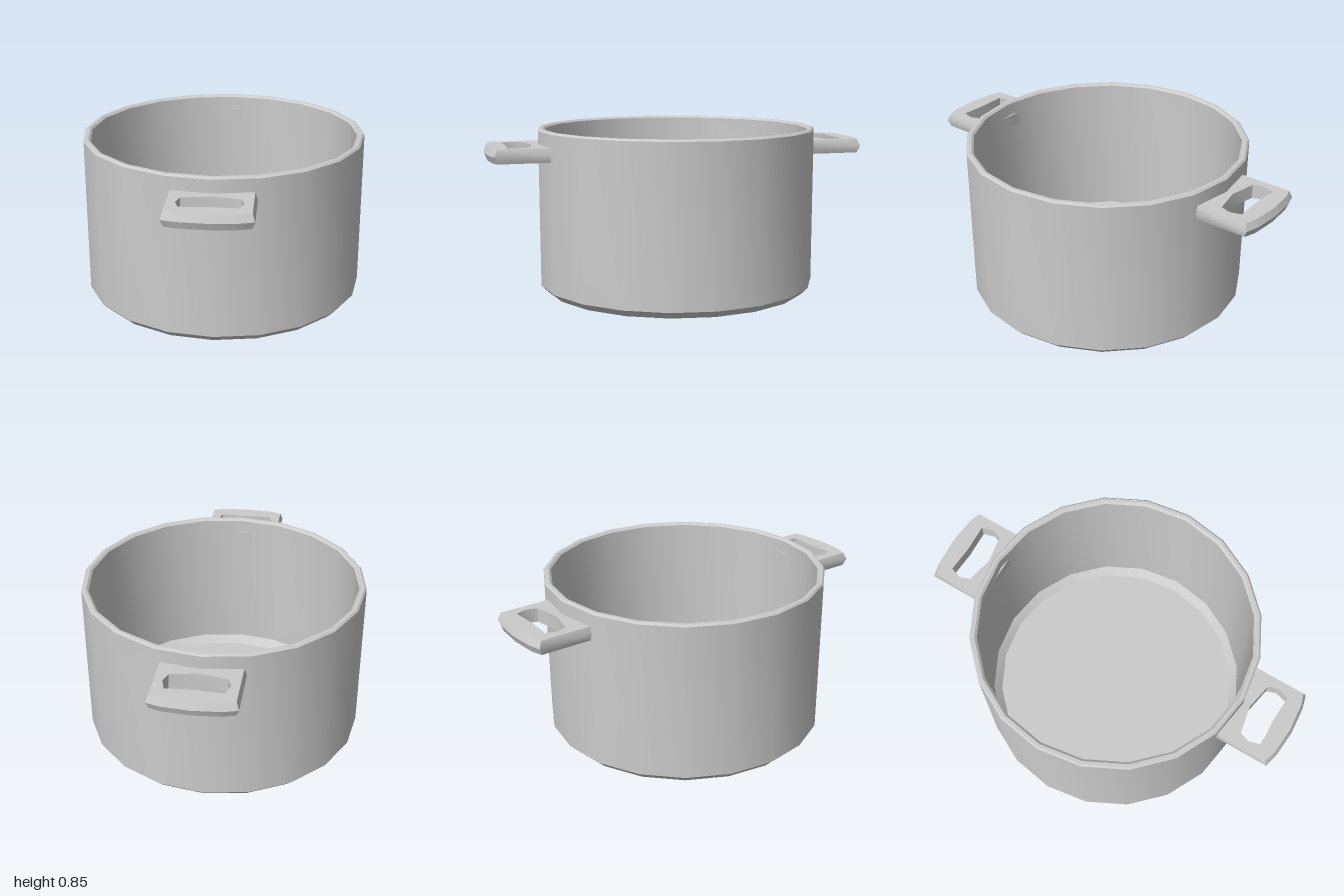
import * as THREE from 'three';
import { toCreasedNormals } from 'three/addons/utils/BufferGeometryUtils.js';

const CREASE = 0.7;
const points = (list) => list.map(([x, y]) => new THREE.Vector2(x, y));

// Flat grip: thickness along y, pointing to +z, with a hand hole
function handleGeometry() {
  const thickness = 0.072;
  const shape = new THREE.Shape(points([
    [-0.197, 0.68], [0.197, 0.68], [0.197, 0.956],
    [0.14, 0.975], [0, 0.986], [-0.14, 0.975], [-0.197, 0.956],
  ]));
  shape.holes.push(new THREE.Path(points([
    [-0.138, 0.9], [0, 0.893], [0.138, 0.9], [0.155, 0.84],
    [0.138, 0.79], [0, 0.763], [-0.138, 0.79], [-0.155, 0.84],
  ])));
  const geo = new THREE.ExtrudeGeometry(shape, { depth: thickness, steps: 2, bevelEnabled: false });

  // Push the middle ring of the outer edge outwards for a ridged rim
  const p = geo.attributes.position;
  for (let i = 0; i < p.count; i++) {
    if (Math.abs(p.getZ(i) - thickness / 2) > 0.001) continue;
    const x = p.getX(i), y = p.getY(i);
    if (Math.abs(x) > 0.18) p.setX(i, x + Math.sign(x) * 0.012);
    if (y > 0.93) p.setY(i, y + 0.014);
  }
  geo.rotateX(Math.PI / 2);
  return toCreasedNormals(geo, CREASE);
}

export function createModel() {
  const group = new THREE.Group();
  const material = new THREE.MeshStandardMaterial({ color: 0xcccccc });

  // Pot body: base, chamfer, outer wall, rim, inner wall, inner floor
  const profile = points([
    [0, 0], [0.69, 0], [0.727, 0.037], [0.727, 0.844], [0.718, 0.853],
    [0.702, 0.853], [0.69, 0.843], [0.69, 0.08], [0.65, 0.04], [0, 0.04],
  ]);
  const body = new THREE.Mesh(toCreasedNormals(new THREE.LatheGeometry(profile, 20), CREASE), material);
  body.name = 'potBody';
  group.add(body);

  // Front and back handles
  const geo = handleGeometry();
  ['frontHandle', 'backHandle'].forEach((name, i) => {
    const handle = new THREE.Mesh(geo, material);
    handle.name = name;
    handle.position.y = 0.777;
    handle.rotation.y = i * Math.PI;
    group.add(handle);
  });

  return group;
}
